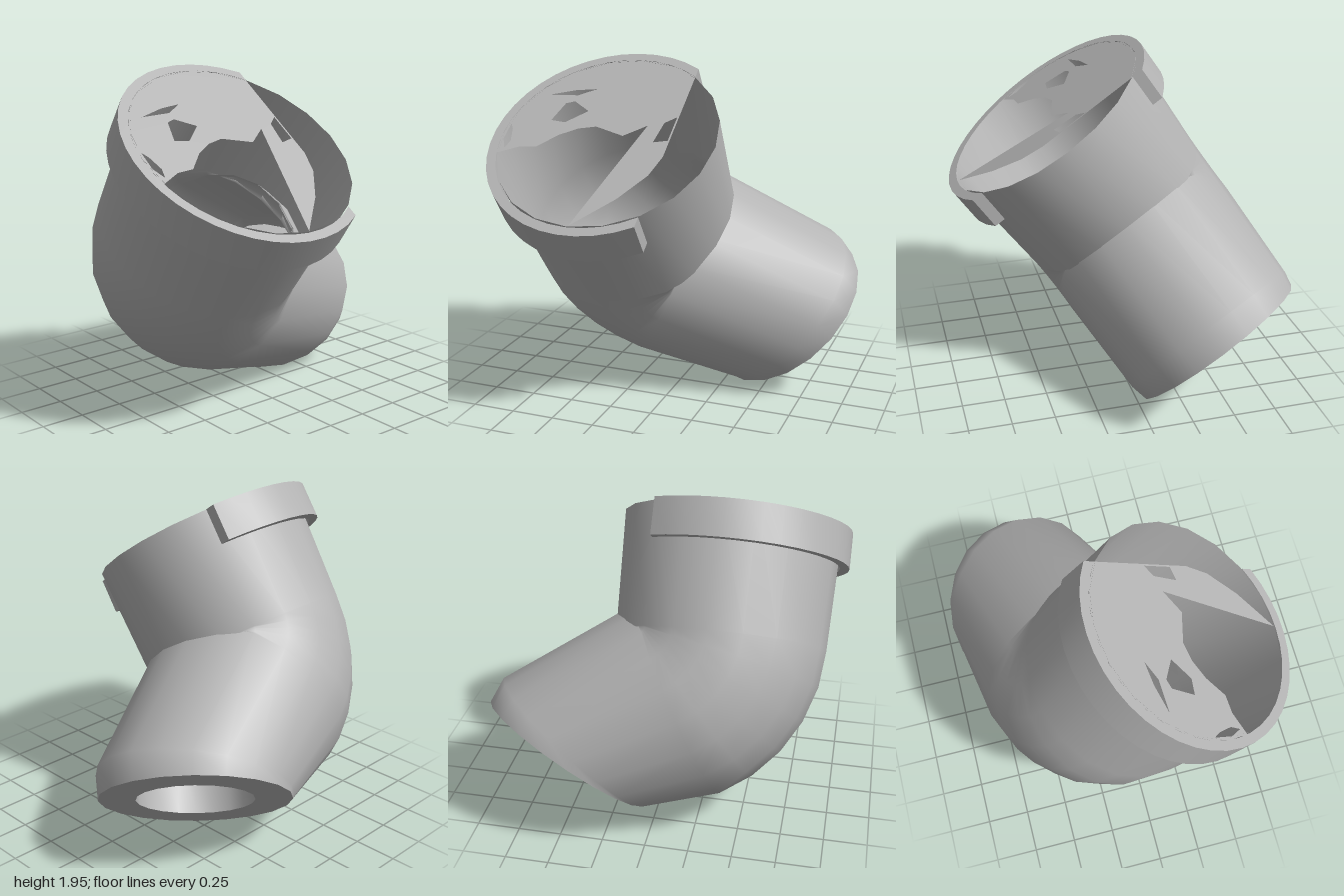
import * as THREE from 'three';
import { toCreasedNormals } from 'three/addons/utils/BufferGeometryUtils.js';

const SIDES = 20;
const AXIS_X = -0.305, TOP = 1.475;
const rad = THREE.MathUtils.degToRad;

// Skin over circular rings [x, y, heading in degrees, radius] that follow a planar path
function loft(rings) {
  const pos = [], index = [];
  rings.forEach(([x, y, heading, r], i) => {
    const a = rad(heading);
    for (let j = 0; j < SIDES; j++) {
      const f = (j / SIDES) * Math.PI * 2, c = r * Math.cos(f);
      pos.push(x - Math.sin(a) * c, y + Math.cos(a) * c, r * Math.sin(f));
      if (i === rings.length - 1) continue;
      const p = i * SIDES + j, q = i * SIDES + (j + 1) % SIDES;
      index.push(p, q, p + SIDES, q, q + SIDES, p + SIDES);
    }
  });
  const g = new THREE.BufferGeometry();
  g.setAttribute('position', new THREE.Float32BufferAttribute(pos, 3));
  g.setIndex(index);
  g.computeVertexNormals();
  return g;
}

export function createModel() {
  const grey = new THREE.MeshStandardMaterial({ color: 0xb4b4b4, side: THREE.DoubleSide });
  grey.name = 'grey';

  const model = new THREE.Group();
  model.name = 'pipeElbow';
  // Tilted frame: y runs along the socket, the pipe bends in the xy plane
  const elbow = new THREE.Group();
  elbow.name = 'tiltedElbow';
  elbow.rotation.x = rad(34.7);
  const offset = new THREE.Vector3(0, 0, -0.587);
  model.add(elbow);
  const add = (name, geometry) => {
    const m = new THREE.Mesh(geometry, grey);
    m.name = name;
    m.position.copy(offset);
    elbow.add(m);
  };

  // Pipe: straight socket, tight bend around an inner pivot, tapering spigot
  const pivot = [0.09, 0.785], R = 0.395;
  const rings = [[AXIS_X, TOP, -90, 0.635]];
  for (let i = 0; i <= 5; i++) {
    const h = -90 + (61 * i) / 5;
    rings.push([pivot[0] + R * Math.sin(rad(h)), pivot[1] - R * Math.cos(rad(h)), h, 0.61 - 0.002 * i]);
  }
  const end = [0.525, 0.042, -61.3];
  rings.push([0.49, 0.115, -53, 0.553]);
  rings.push([...end, 0.537]);
  add('pipeBody', loft(rings));

  // Spigot end: flat face, blind bore and bore floor
  const depth = 0.34, h = rad(end[2]);
  const inner = [end[0] - depth * Math.cos(h), end[1] - depth * Math.sin(h), end[2]];
  add('endFace', loft([[...end, 0.537], [...end, 0.33]]));
  add('endBore', loft([[...end, 0.33], [...inner, 0.33]]));
  add('boreFloor', loft([[...inner, 0.33], [...inner, 0.001]]));

  // Rim collar, cut off straight on one side
  const cut = 0.06 - AXIS_X, rOut = 0.695, rIn = 0.64;
  const aOut = Math.acos(cut / rOut), aIn = Math.acos(cut / rIn);
  const rim = new THREE.Shape();
  rim.absarc(AXIS_X, 0, rOut, aOut, Math.PI * 2 - aOut, false);
  rim.absarc(AXIS_X, 0, rIn, Math.PI * 2 - aIn, aIn, true);
  rim.closePath();
  const rimGeo = new THREE.ExtrudeGeometry(rim, { depth: 0.21, bevelEnabled: false, curveSegments: 14 });
  rimGeo.rotateX(Math.PI / 2).translate(0, TOP, 0);
  add('rimCollar', toCreasedNormals(rimGeo, 0.6));

  // Broken cover across the socket mouth: back arc, then the ragged front edge
  const outline = [];
  const a0 = Math.PI * 2 - aIn, a1 = Math.PI - 0.27;
  for (let i = 0; i <= 12; i++) {
    const a = a0 + ((a1 - a0) * i) / 12;
    outline.push(new THREE.Vector2(AXIS_X + rIn * Math.cos(a), rIn * Math.sin(a)));
  }
  const points = (list) => list.map(([x, y]) => new THREE.Vector2(x, y));
  outline.push(...points([[-0.8, 0.11], [-0.7, 0.1], [-0.6, 0], [-0.5, -0.06], [-0.4, -0.085],
    [-0.22, -0.03], [-0.1, -0.12], [-0.3, 0.63], [-0.1, 0.42], [0.02, 0.24], [0.06, 0.1]]));
  const cover = new THREE.Shape(outline);
  // Small chips in the cover
  [
    [[-0.69, -0.11], [-0.6, -0.1], [-0.49, -0.2], [-0.6, -0.27], [-0.65, -0.25]],
    [[-0.78, -0.31], [-0.63, -0.36], [-0.5, -0.38], [-0.6, -0.32]],
    [[-0.925, -0.06], [-0.9, -0.02], [-0.875, 0.07], [-0.89, 0.13], [-0.925, 0.06]],
    [[-0.03, 0], [0.05, -0.02], [0.05, -0.2], [-0.01, -0.15]],
  ].forEach((hole) => cover.holes.push(new THREE.Path(points(hole))));
  const coverGeo = new THREE.ShapeGeometry(cover);
  coverGeo.rotateX(Math.PI / 2).translate(0, TOP - 0.001, 0);
  // Turn the faces upward
  const idx = coverGeo.index.array;
  for (let i = 0; i < idx.length; i += 3) [idx[i], idx[i + 1]] = [idx[i + 1], idx[i]];
  coverGeo.computeVertexNormals();
  add('brokenCover', coverGeo);

  return model;
}
